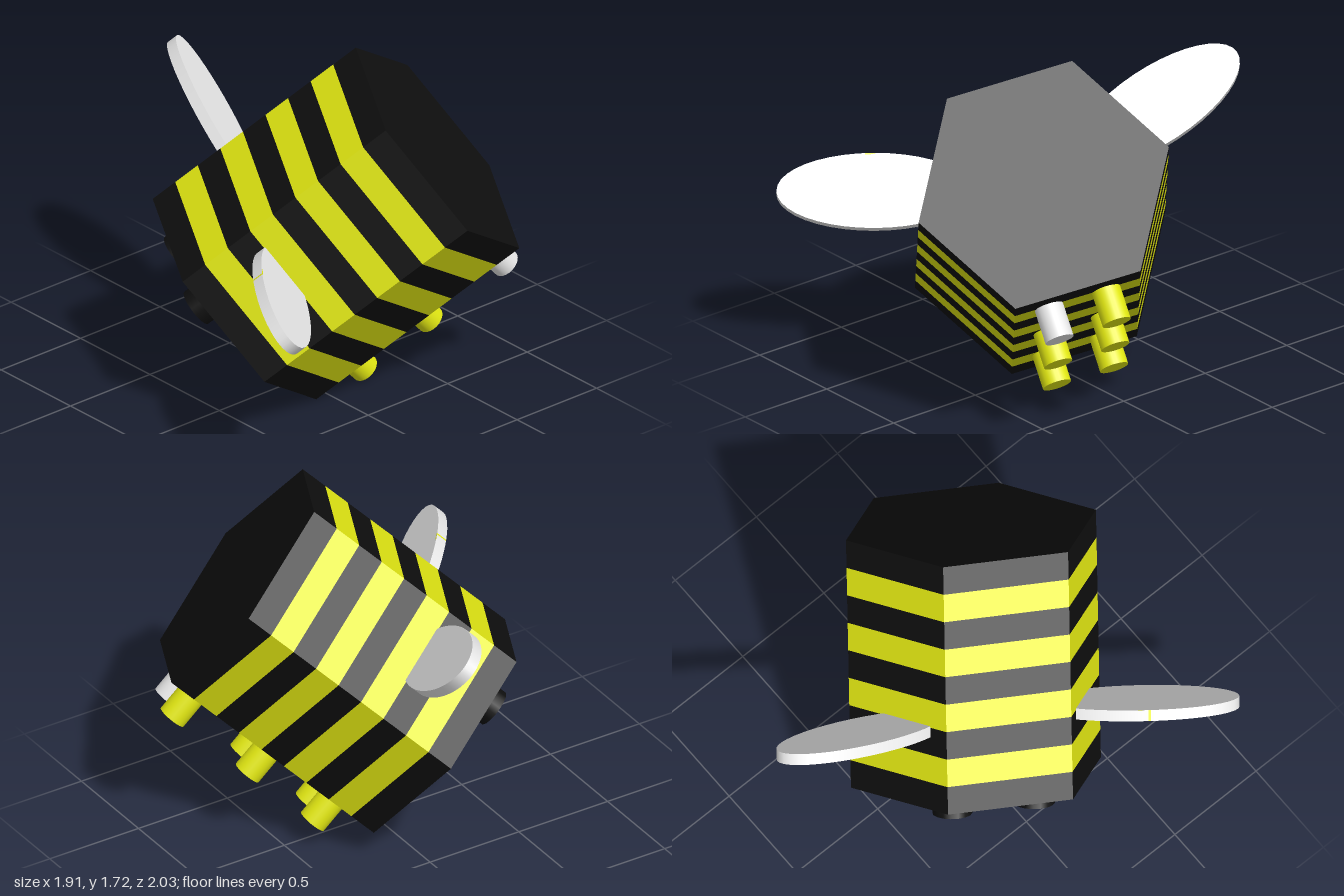
import * as THREE from 'three';

const mat = (name, color) => {
  const m = new THREE.MeshStandardMaterial({ color });
  m.name = name;
  return m;
};

export function createModel() {
  const yellow = mat('yellow', 0xe2e812);
  const black = mat('black', 0x0e0e0e);
  const white = mat('white', 0xefefef);

  // Bee frame: x to its left, y up its back, z towards its face
  const bee = new THREE.Group();
  bee.name = 'bee';
  const add = (name, geometry, material, x = 0, y = 0, z = 0) => {
    const mesh = new THREE.Mesh(geometry, material);
    mesh.name = name;
    mesh.position.set(x, y, z);
    bee.add(mesh);
    return mesh;
  };

  // Hexagonal body in nine equal bands, with a yellow face at the front
  const radius = 0.622, length = 1.24, bands = 9, step = length / bands;
  for (let i = 0; i < bands; i++) {
    const hex = new THREE.CylinderGeometry(radius, radius, step, 6, 1, false, Math.PI / 6)
      .rotateX(Math.PI / 2).toNonIndexed();
    hex.computeVertexNormals();
    const color = i % 2 ? yellow : black;
    add(i % 2 ? 'yellowBand' : 'blackBand', hex, [color, i === 0 ? yellow : color, color],
      0, 0, length / 2 - step * (i + 0.5));
  }

  // Eyes: short round studs on the face
  const eye = new THREE.CylinderGeometry(0.095, 0.095, 0.12, 16).rotateX(Math.PI / 2);
  for (const side of [-1, 1]) add('eye', eye, black, side * 0.205, 0.27, length / 2 + 0.03);

  // Three pairs of stubby legs; the left rear one is white
  const leg = new THREE.CylinderGeometry(0.07, 0.07, 0.22, 24);
  for (const z of [0.4, 0, -0.46]) {
    for (const side of [-1, 1]) {
      add('leg', leg, side > 0 && z < -0.1 ? white : yellow, side * 0.142, -0.597, z);
    }
  }

  // Oval wings, flat across the body and tilted upwards
  const tilt = 0.297;
  const wing = new THREE.CylinderGeometry(1, 1, 0.055, 40).rotateX(Math.PI / 2).scale(0.465, 0.184, 1);
  for (const side of [-1, 1]) {
    add(side > 0 ? 'leftWing' : 'rightWing', wing, white, side * 0.7, 0.41, 0.227)
      .rotation.z = side * tilt;
  }

  // Small yellow patch on the upper rim of the left wing
  add('wingPatch', new THREE.BoxGeometry(0.06, 0.006, 0.055), yellow, 0.66, 0.586, 0.227)
    .rotation.z = tilt;

  // Tip the bee so that it dives on a slant
  const x = new THREE.Vector3(-0.452, -0.226, 0.866).normalize();
  const z = new THREE.Vector3().crossVectors(x, new THREE.Vector3(-0.651, 0.744, -0.149)).normalize();
  const y = new THREE.Vector3().crossVectors(z, x);
  bee.quaternion.setFromRotationMatrix(new THREE.Matrix4().makeBasis(x, y, z));
  bee.position.set(0.09, 0.87, 0.165);

  const model = new THREE.Group();
  model.name = 'model';
  model.add(bee);
  return model;
}
